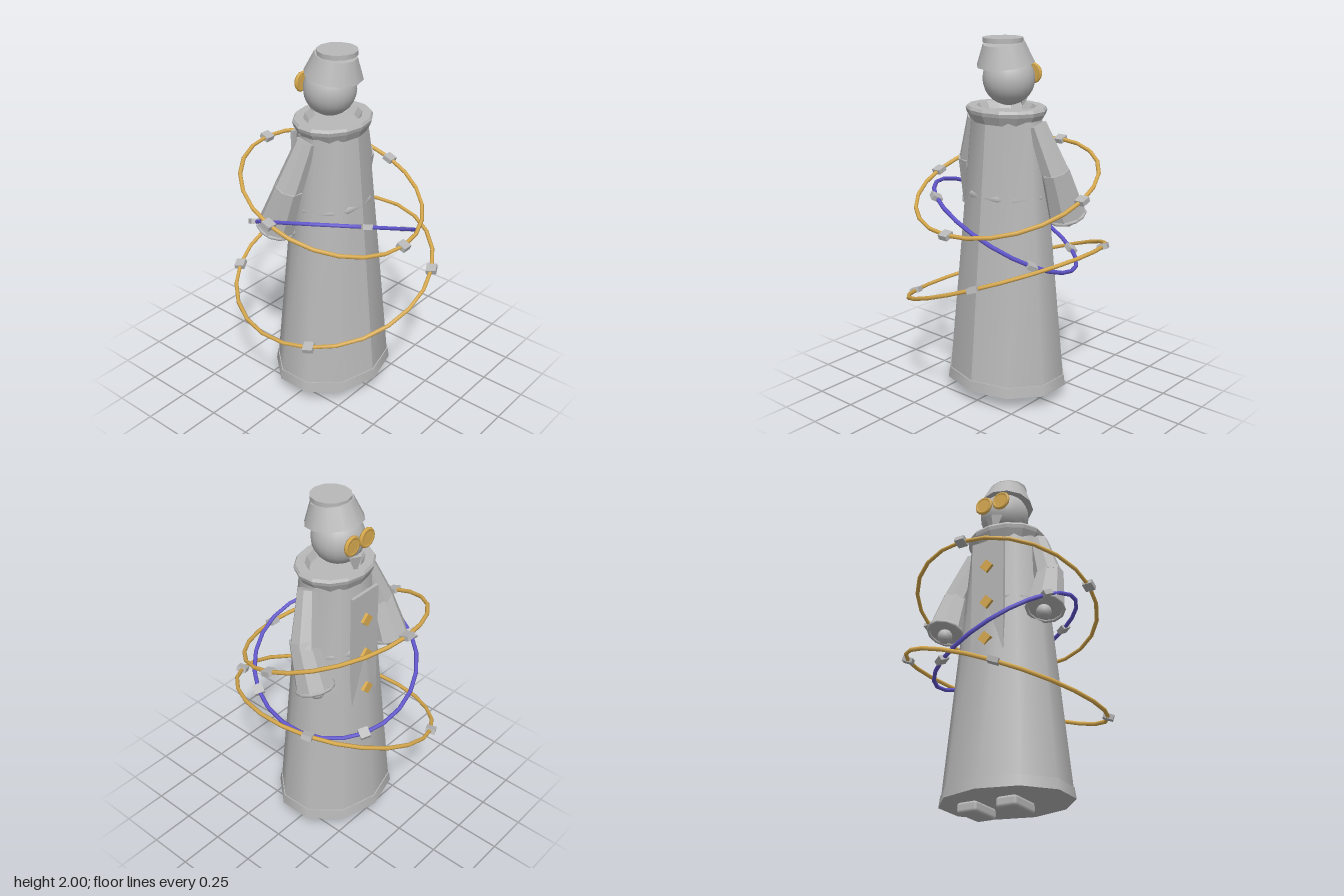
import * as THREE from 'three';
import { RoundedBoxGeometry } from 'three/addons/geometries/RoundedBoxGeometry.js';

const material = (name, color) => {
  const m = new THREE.MeshStandardMaterial({ color });
  m.name = name;
  return m;
};

export function createModel() {
  const grey = material('stone grey', 0xb8b8b8);
  const gold = material('gold', 0xd9ab4f);
  const violet = material('violet', 0x6257cf);
  const model = new THREE.Group();
  model.name = 'robedFigure';

  const add = (name, geometry, mat, x = 0, y = 0, z = 0, parent = model) => {
    const mesh = new THREE.Mesh(geometry, mat);
    mesh.name = name;
    mesh.position.set(x, y, z);
    parent.add(mesh);
    return mesh;
  };
  const faceted = (geometry) => {
    const g = geometry.toNonIndexed();
    g.computeVertexNormals();
    return g;
  };

  // Robe: ten-sided cone, a little flatter in depth towards the shoulders
  const robe = new THREE.CylinderGeometry(0.215, 0.362, 1.5, 10);
  const p = robe.attributes.position;
  for (let i = 0; i < p.count; i++) {
    const t = p.getY(i) / 1.5 + 0.5;
    p.setZ(i, p.getZ(i) * (0.84 - 0.06 * t));
  }
  robe.computeVertexNormals();
  add('robe', robe, grey, 0, 0.83, 0);
  add('hem', new THREE.CylinderGeometry(0.361, 0.37, 0.06, 10), grey, 0, 0.11, 0).scale.z = 0.845;

  // Belt and collar
  const belt = new THREE.TorusGeometry(0.225, 0.024, 6, 16);
  belt.rotateX(Math.PI / 2);
  add('belt', belt, grey, 0, 1.17, 0).scale.z = 0.82;
  const collarProfile = [[0.2, 1.56], [0.226, 1.605], [0.232, 1.625], [0.222, 1.64],
    [0.17, 1.64], [0.145, 1.6], [0, 1.6]].map(([x, y]) => new THREE.Vector2(x, y));
  add('collar', faceted(new THREE.LatheGeometry(collarProfile, 14)), grey).scale.z = 0.85;

  // Head and hat
  add('head', new THREE.SphereGeometry(0.14, 20, 14), grey, 0, 1.78, -0.02);
  add('hat', new THREE.CylinderGeometry(0.112, 0.156, 0.112, 12), grey, 0, 1.917, 0.012).rotation.x = 0.14;
  add('hatCrown', new THREE.CylinderGeometry(0.108, 0.108, 0.025, 12), grey, 0, 1.9875, 0.028);

  // Goggles and pointed beard
  for (const side of [-1, 1]) {
    const lens = new THREE.CylinderGeometry(0.042, 0.042, 0.02, 12);
    lens.rotateX(Math.PI / 2);
    add('goggleLens', lens, gold, side * 0.056, 1.8, -0.158);
    add('goggleRim', new THREE.TorusGeometry(0.045, 0.011, 6, 14), gold, side * 0.056, 1.8, -0.16);
  }
  const beard = new THREE.CylinderGeometry(0.055, 0.004, 0.11, 4);
  add('beard', faceted(beard), grey, 0, 1.665, -0.14).scale.z = 0.6;

  // Front panel with diamond studs
  add('frontPanel', new THREE.BoxGeometry(0.2, 0.69, 0.018), grey, 0, 1.18, -0.2);
  [[1.36, -0.215], [1.14, -0.215], [0.92, -0.228]].forEach(([y, z]) => {
    add('diamondStud', new THREE.BoxGeometry(0.056, 0.056, 0.022), gold, 0, y, z).rotation.z = Math.PI / 4;
  });

  // Tapered limb section between two points
  const limb = (name, a, b, ra, rb, parent) => {
    const dir = b.clone().sub(a);
    const mesh = add(name, faceted(new THREE.CylinderGeometry(rb, ra, dir.length(), 8)), grey, 0, 0, 0, parent);
    mesh.position.copy(a).add(b).multiplyScalar(0.5);
    mesh.quaternion.setFromUnitVectors(new THREE.Vector3(0, 1, 0), dir.normalize());
    return mesh;
  };

  // Arms, hands and shoes
  for (const side of [-1, 1]) {
    const arm = new THREE.Group();
    arm.name = side > 0 ? 'leftArm' : 'rightArm';
    model.add(arm);
    const v = (x, y, z) => new THREE.Vector3(side * x, y, z);
    const shoulder = v(0.21, 1.56, 0);
    const elbow = v(0.302, 1.28, -0.06);
    const wrist = v(0.313, 1.06, -0.135);
    limb('upperSleeve', shoulder, elbow, 0.055, 0.08, arm);
    limb('lowerSleeve', v(0.3, 1.32, -0.045), wrist, 0.076, 0.105, arm);
    const cuff = new THREE.TorusGeometry(0.1, 0.01, 6, 12);
    const cuffMesh = add('cuff', cuff, grey, wrist.x, wrist.y, wrist.z, arm);
    cuffMesh.quaternion.setFromUnitVectors(new THREE.Vector3(0, 0, 1),
      wrist.clone().sub(elbow).normalize());
    add('hand', new THREE.SphereGeometry(0.042, 12, 8), grey, side * 0.31, 1.035, -0.145, arm);
    add('shoe', new RoundedBoxGeometry(0.12, 0.06, 0.21, 1, 0.018), grey, side * 0.113, 0.03, -0.105);
  }

  // Tilted orbit rings: two perpendicular spokes give plane and radius
  const orbit = (name, mat, y, u, v) => {
    const U = new THREE.Vector3(...u);
    const r = U.length();
    U.normalize();
    const N = U.clone().cross(new THREE.Vector3(...v)).normalize();
    const V = N.clone().cross(U);
    const ring = new THREE.Group();
    ring.name = name;
    ring.position.y = y;
    ring.quaternion.setFromRotationMatrix(new THREE.Matrix4().makeBasis(U, V, N));
    model.add(ring);
    add('hoop', new THREE.TorusGeometry(r, 0.0115, 6, 24), mat, 0, 0, 0, ring);
    for (let i = 0; i < 4; i++) {
      const a = i * Math.PI / 2;
      add('hoopBlock', new THREE.BoxGeometry(0.056, 0.056, 0.028), grey,
        r * Math.cos(a), r * Math.sin(a), 0, ring);
    }
  };
  orbit('upperRing', gold, 1.205, [0.51, 0, 0], [0, -0.175, 0.479]);
  orbit('middleRing', violet, 0.98, [0.37, -0.1, 0.235], [-0.18, 0.2, 0.365]);
  orbit('lowerRing', gold, 0.715, [0.485, 0.178, -0.237], [0.235, 0.087, 0.51]);

  return model;
}
